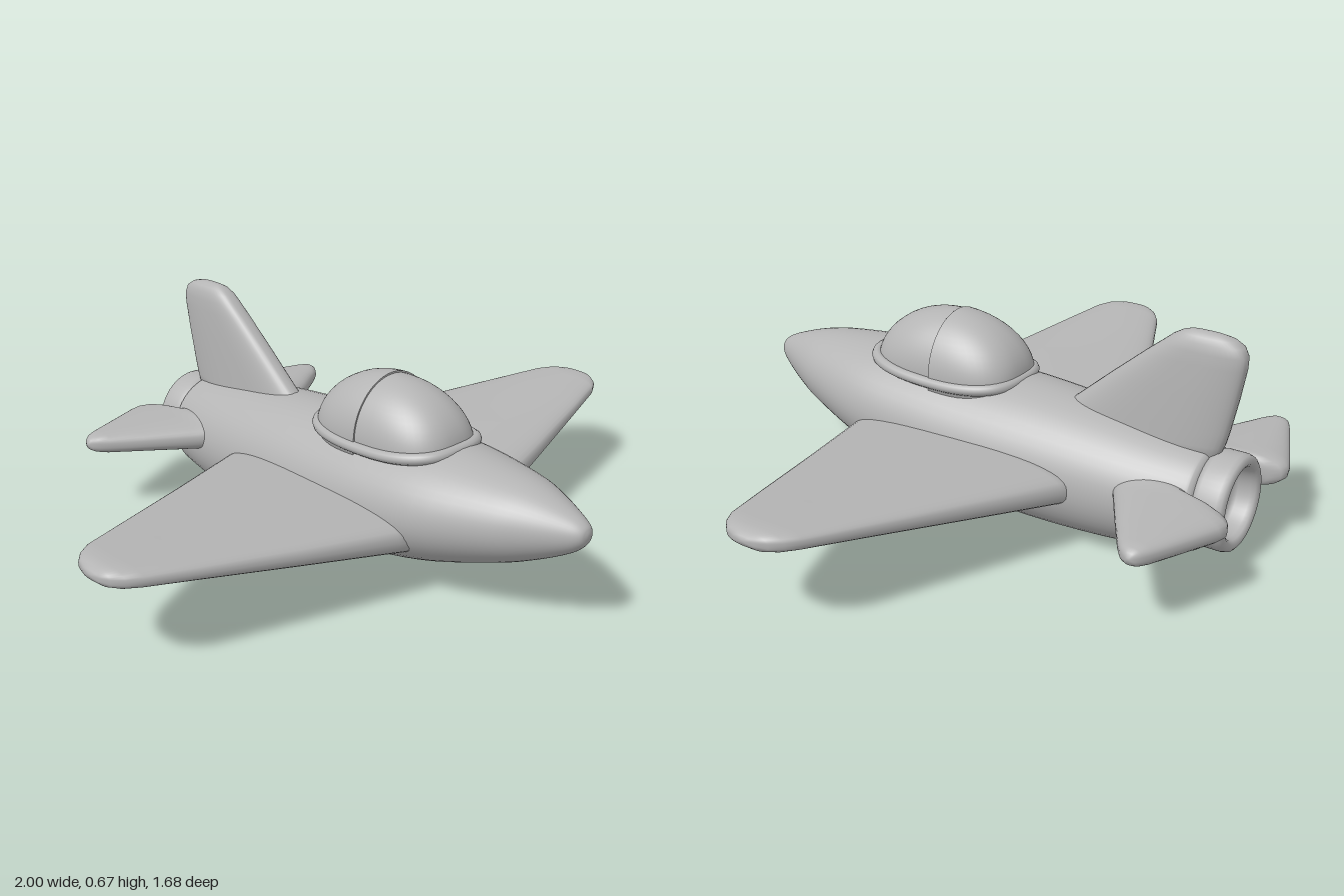
import * as THREE from 'three';

const V = (x, y, z) => new THREE.Vector3(x, y, z);

// Unit superellipse: n = 2 is a circle, larger n is boxier
function oval(count, n) {
  const f = (v) => Math.sign(v) * Math.abs(v) ** (2 / n);
  return Array.from({ length: count }, (_, i) => {
    const a = (i / count) * Math.PI * 2;
    return [f(Math.cos(a)), f(Math.sin(a))];
  });
}

// Closed, smooth skin through rings of equal point count, facing outward
function loft(rings) {
  const n = rings[0].length;
  const pts = rings.flat();
  const idx = [];
  for (let r = 0; r < rings.length - 1; r++) {
    for (let i = 0; i < n; i++) {
      const a = r * n + i, b = r * n + ((i + 1) % n);
      idx.push(a, b, a + n, b, b + n, a + n);
    }
  }
  [0, rings.length - 1].forEach((r, end) => {
    const c = pts.length;
    pts.push(rings[r].reduce((s, p) => s.add(p), V(0, 0, 0)).divideScalar(n));
    for (let i = 0; i < n; i++) {
      const a = r * n + i, b = r * n + ((i + 1) % n);
      if (end) idx.push(a, b, c);
      else idx.push(b, a, c);
    }
  });
  // Flip the winding if the enclosed volume is negative
  let volume = 0;
  for (let i = 0; i < idx.length; i += 3) {
    volume += pts[idx[i]].dot(V(0, 0, 0).crossVectors(pts[idx[i + 1]], pts[idx[i + 2]]));
  }
  if (volume < 0) idx.reverse();
  const g = new THREE.BufferGeometry().setFromPoints(pts);
  g.setIndex(idx);
  g.computeVertexNormals();
  return g;
}

// Wing or tailplane from stations [x, front z, back z, centre y, half thickness]
function foil(stations, side, n) {
  return loft(stations.map(([x, zf, zb, y, h]) =>
    oval(40, n).map(([u, v]) => V(side * x, y + v * h, (zf + zb) / 2 + (u * (zf - zb)) / 2))));
}

export function createModel() {
  const model = new THREE.Group();
  const grey = new THREE.MeshStandardMaterial({ color: 0xb4b4b4 });
  const add = (name, geometry) => {
    const mesh = new THREE.Mesh(geometry, grey);
    mesh.name = name;
    model.add(mesh);
    return mesh;
  };

  // Fuselage: [z, top, bottom, half width], smoothed along its length
  const body = [
    [0.838, 0.318, 0.302, 0.008], [0.828, 0.336, 0.277, 0.03], [0.79, 0.357, 0.245, 0.056],
    [0.7, 0.388, 0.197, 0.106], [0.6, 0.408, 0.155, 0.15], [0.4, 0.424, 0.088, 0.209],
    [0.2, 0.424, 0.042, 0.226], [0, 0.416, 0.014, 0.225], [-0.2, 0.406, 0.003, 0.215],
    [-0.4, 0.387, 0.008, 0.2], [-0.55, 0.367, 0.022, 0.182], [-0.67, 0.35, 0.039, 0.157],
    [-0.695, 0.342, 0.047, 0.148], [-0.705, 0.325, 0.062, 0.135],
  ];
  const heights = new THREE.CatmullRomCurve3(body.map(([z, t, b]) => V(z, t, b)), false, 'catmullrom');
  const widths = new THREE.CatmullRomCurve3(body.map(([z, , , w]) => V(z, w, 0)), false, 'catmullrom');
  const steps = 52;
  add('fuselage', loft(Array.from({ length: steps + 1 }, (_, i) => {
    const { x: z, y: top, z: bottom } = heights.getPoint(i / steps);
    const w = widths.getPoint(i / steps).y;
    return oval(48, 2).map(([u, v]) => V(u * w, (top + bottom) / 2 + (v * (top - bottom)) / 2, z));
  })));

  // Wings and tailplanes, mirrored
  const wing = [
    [0.12, 0.41, -0.4, 0.187, 0.076], [0.22, 0.382, -0.358, 0.2, 0.072],
    [0.5, 0.307, -0.236, 0.233, 0.054], [0.78, 0.232, -0.115, 0.268, 0.038],
    [0.92, 0.193, -0.054, 0.285, 0.031], [0.96, 0.17, -0.025, 0.288, 0.029],
    [0.985, 0.142, 0.005, 0.289, 0.023], [0.997, 0.11, 0.04, 0.289, 0.013],
    [1, 0.085, 0.065, 0.289, 0.004],
  ];
  const tailplane = [
    [0.1, -0.46, -0.69, 0.227, 0.056], [0.14, -0.475, -0.72, 0.227, 0.056],
    [0.16, -0.485, -0.8, 0.227, 0.055], [0.175, -0.492, -0.832, 0.227, 0.053],
    [0.2, -0.507, -0.842, 0.228, 0.051], [0.23, -0.525, -0.835, 0.229, 0.049],
    [0.34, -0.592, -0.79, 0.234, 0.04], [0.43, -0.648, -0.752, 0.238, 0.032],
    [0.46, -0.67, -0.737, 0.24, 0.026], [0.475, -0.689, -0.723, 0.24, 0.017],
    [0.48, -0.7, -0.712, 0.24, 0.005],
  ];
  for (const [label, side] of [['left', 1], ['right', -1]]) {
    add(label + 'Wing', foil(wing, side, 2.8));
    add(label + 'Tailplane', foil(tailplane, side, 2.5));
  }

  // Tail fin: [y, front z, back z, half thickness]
  const fin = [
    [0.28, -0.15, -0.7, 0.055], [0.36, -0.22, -0.732, 0.052], [0.4, -0.272, -0.742, 0.05],
    [0.5, -0.385, -0.762, 0.047], [0.59, -0.49, -0.777, 0.043], [0.625, -0.533, -0.778, 0.041],
    [0.65, -0.563, -0.766, 0.036], [0.665, -0.588, -0.742, 0.027], [0.673, -0.61, -0.71, 0.014],
    [0.675, -0.635, -0.68, 0.004],
  ];
  add('tailFin', loft(fin.map(([y, zf, zb, h]) =>
    oval(40, 2.7).map(([u, v]) => V(v * h, y, (zf + zb) / 2 + (u * (zf - zb)) / 2)))));

  // Canopy: full dome, with a slightly larger rear shell ending in a step
  const middle = 0.155;
  const dome = (grow, zMax) => {
    const rings = [oval(56, 2.9).map(([u, v]) =>
      V(u * 0.152 * grow, 0.33, Math.min(zMax, middle + v * 0.238 * grow)))];
    for (let i = 0; i <= 14; i++) {
      const a = (i / 14) * Math.PI * 0.494;
      const n = 2.9 - 0.8 * Math.sin(a);
      const s = Math.cos(a) * grow;
      rings.push(oval(56, n).map(([u, v]) =>
        V(u * 0.152 * s, 0.405 + 0.166 * grow * Math.sin(a), Math.min(zMax, middle + v * 0.238 * s))));
    }
    return loft(rings);
  };
  add('windscreen', dome(1, 9));
  add('rearCanopy', dome(1.03, 0.14));

  // Rim around the canopy, dipping along the sides
  const rim = new THREE.CatmullRomCurve3(oval(48, 3).map(([u, v]) =>
    V(u * 0.153, 0.392 + 0.018 * v * v + 0.006 * v, middle + v * 0.242)), true);
  add('canopyRim', new THREE.TubeGeometry(rim, 96, 0.017, 10, true));

  // Hollow exhaust nozzle
  const profile = [
    [0.1, -0.02], [0.122, -0.005], [0.133, 0.005], [0.139, 0.02], [0.139, 0.075], [0.135, 0.088],
    [0.126, 0.095], [0.113, 0.095], [0.104, 0.088], [0.1, 0.075], [0.096, 0.04], [0.085, 0.028],
    [0.06, 0.023], [0, 0.02],
  ].map(([r, d]) => new THREE.Vector2(r, d));
  const nozzle = add('exhaustNozzle', new THREE.LatheGeometry(profile, 48));
  nozzle.rotation.x = -Math.PI / 2;
  nozzle.position.set(0, 0.203, -0.7);

  return model;
}
